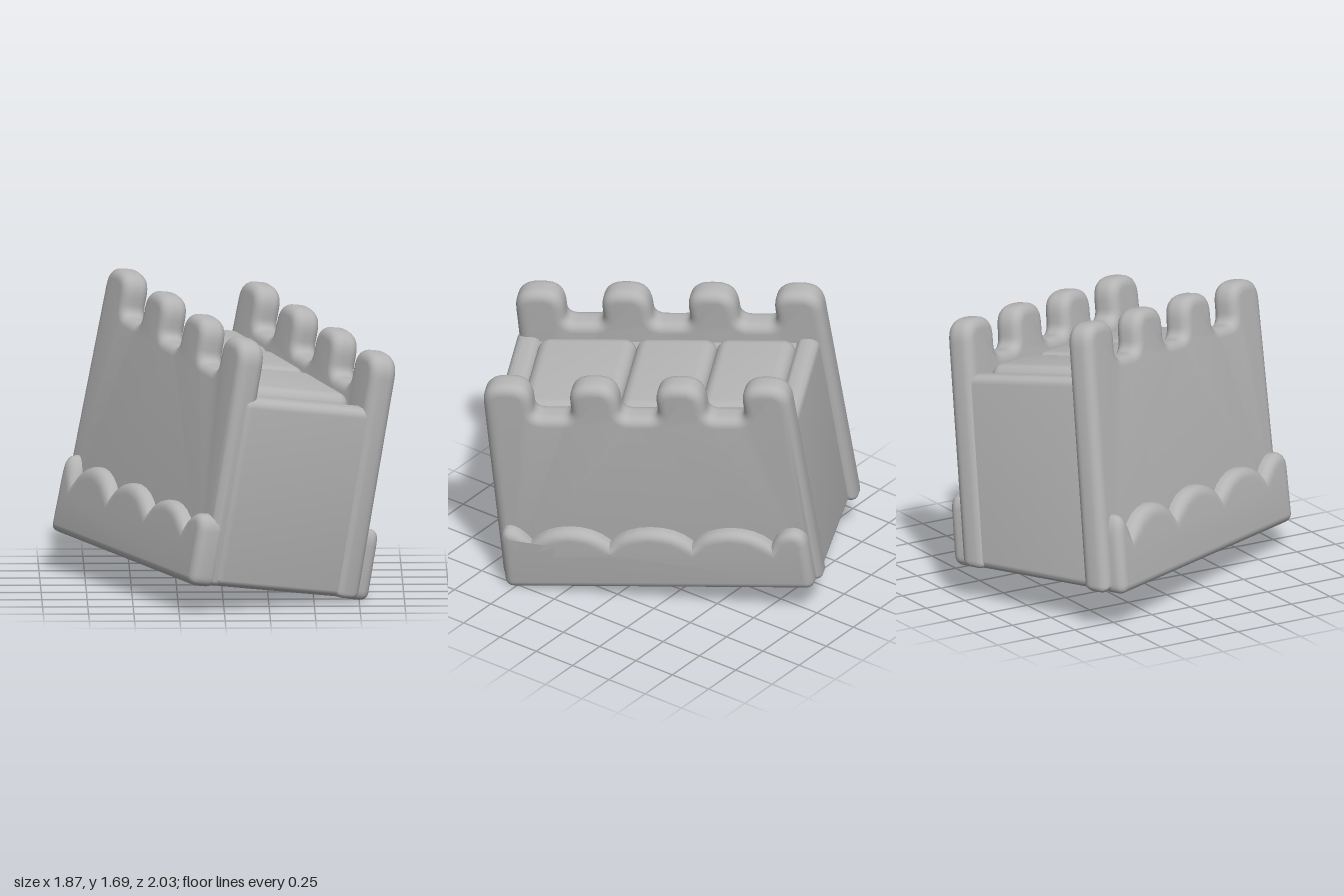
import * as THREE from 'three';
import { mergeVertices, toCreasedNormals } from 'three/addons/utils/BufferGeometryUtils.js';
import { RoundedBoxGeometry } from 'three/addons/geometries/RoundedBoxGeometry.js';

const CENTRE_X = 0.055; // middle between the two side walls

const clamp01 = (v) => Math.min(1, Math.max(0, v));

// Sag the lower back left corner, flare the front towards its foot, smooth the normals
function finish(geometry) {
  geometry.deleteAttribute('uv');
  geometry.deleteAttribute('normal');
  const geo = mergeVertices(geometry, 1e-4);
  const p = geo.attributes.position;
  for (let i = 0; i < p.count; i++) {
    const x = p.getX(i), y = p.getY(i), z = p.getZ(i);
    const wx = clamp01((0.6 - x) / 1.1);
    const wz = clamp01((0.85 - z) / 1.7);
    const wy = clamp01(-y / 0.38);
    p.setY(i, y - 0.15 * wx * wz * wy);
    p.setZ(i, z + 0.055 * (0.6 - y) * clamp01(z / 0.85));
  }
  return toCreasedNormals(geo, 0.9);
}

// Closed outline whose corners [x, y, radius] are rounded
function roundedShape(points) {
  const shape = new THREE.Shape();
  const n = points.length;
  points.forEach(([x, y, r], i) => {
    const c = new THREE.Vector2(x, y);
    const toward = ([px, py]) => {
      const d = new THREE.Vector2(px, py).sub(c);
      return c.clone().addScaledVector(d.normalize(), r);
    };
    const a = toward(points[(i + n - 1) % n]);
    const b = toward(points[(i + 1) % n]);
    if (i === 0) shape.moveTo(a.x, a.y);
    else shape.lineTo(a.x, a.y);
    shape.quadraticCurveTo(x, y, b.x, b.y);
  });
  shape.closePath();
  return shape;
}

// Upright slab: outline lies in the length/height plane, thickness runs along x
function slab(shape, x, z, thickness, bevel) {
  const depth = thickness - 2 * bevel;
  const geo = new THREE.ExtrudeGeometry(shape, {
    depth, curveSegments: 8, bevelSegments: 5,
    bevelSize: bevel, bevelThickness: bevel, bevelOffset: -bevel,
  });
  geo.translate(0, 0, -depth / 2);
  geo.rotateY(-Math.PI / 2);
  geo.translate(x, 0, z);
  return finish(geo);
}

// Wall outline with four rounded battlements
function wallShape() {
  const top = 0.705, notch = 0.48, step = 0.49, half = 0.137;
  const points = [[-0.87, -0.66, 0.04], [0.87, -0.66, 0.04]];
  for (let i = 3; i >= 0; i--) {
    const z = (i - 1.5) * step;
    if (i < 3) points.push([z + half, notch, 0.06]);
    points.push([z + half, top, 0.125], [z - half, top, 0.125]);
    if (i > 0) points.push([z - half, notch, 0.06]);
  }
  return roundedShape(points);
}

// Low skirting outline with a scalloped upper edge
function trimShape(shift) {
  const back = -0.825, front = 0.86, valley = -0.37;
  const shape = new THREE.Shape();
  shape.moveTo(back + 0.05, -0.67);
  shape.lineTo(front - 0.05, -0.67);
  shape.quadraticCurveTo(front, -0.67, front, -0.61);
  shape.lineTo(front, -0.36);
  const stops = [0.66, 0.24, -0.21, -0.66].map((z) => z + shift);
  shape.bezierCurveTo(front, -0.24, stops[0] + 0.08, -0.24, stops[0], valley);
  for (let i = 1; i < stops.length; i++) {
    const a = stops[i - 1], b = stops[i];
    shape.bezierCurveTo(a - 0.1, valley + 0.125, b + 0.1, valley + 0.125, b, valley);
  }
  shape.bezierCurveTo(stops[3] - 0.06, -0.24, back, -0.24, back, -0.36);
  shape.lineTo(back, -0.61);
  shape.quadraticCurveTo(back, -0.67, back + 0.05, -0.67);
  return shape;
}

function roundedBox(w, h, d, r, x, y, z) {
  return finish(new RoundedBoxGeometry(w, h, d, 5, r).translate(x, y, z));
}

export function createModel() {
  const grey = new THREE.MeshStandardMaterial({ color: 0xb4b4b4 });
  grey.name = 'grey';

  const model = new THREE.Group();
  model.name = 'castleBlock';
  const block = new THREE.Group();
  block.name = 'tiltedBlock';
  model.add(block);

  const add = (name, geometry) => {
    const mesh = new THREE.Mesh(geometry, grey);
    mesh.name = name;
    block.add(mesh);
  };

  // Core, with end walls that stand proud above and below it
  add('core', roundedBox(0.76, 0.99, 1.64, 0.03, CENTRE_X, -0.125, 0));
  add('frontEnd', roundedBox(0.84, 1.06, 0.14, 0.05, CENTRE_X, -0.13, 0.8));
  add('backEnd', roundedBox(0.84, 1.06, 0.13, 0.05, CENTRE_X, -0.13, -0.775));

  // Side walls and scalloped skirtings
  for (const [side, sign] of [['left', 1], ['right', -1]]) {
    add(side + 'Wall', slab(wallShape(), CENTRE_X + sign * 0.407, sign * 0.015, 0.158, 0.055));
    add(side + 'Trim', slab(trimShape(sign > 0 ? 0.04 : -0.02), CENTRE_X + sign * 0.48, 0, 0.16, 0.05));
  }

  // Three cushioned panels on top
  for (const [z0, z1] of [[-0.72, -0.275], [-0.275, 0.18], [0.18, 0.73]]) {
    add('topPanel', roundedBox(0.63, 0.16, z1 - z0, 0.07, CENTRE_X, 0.358, (z0 + z1) / 2));
  }

  // Whole block is turned and leans slightly
  const zAxis = new THREE.Vector3(0.42, -0.116, 0.9).normalize();
  const xAxis = new THREE.Vector3(0.888, -0.153, -0.434);
  xAxis.addScaledVector(zAxis, -xAxis.dot(zAxis)).normalize();
  const yAxis = new THREE.Vector3().crossVectors(zAxis, xAxis);
  block.quaternion.setFromRotationMatrix(new THREE.Matrix4().makeBasis(xAxis, yAxis, zAxis));
  block.position.set(0, 0.855, 0);
  return model;
}
